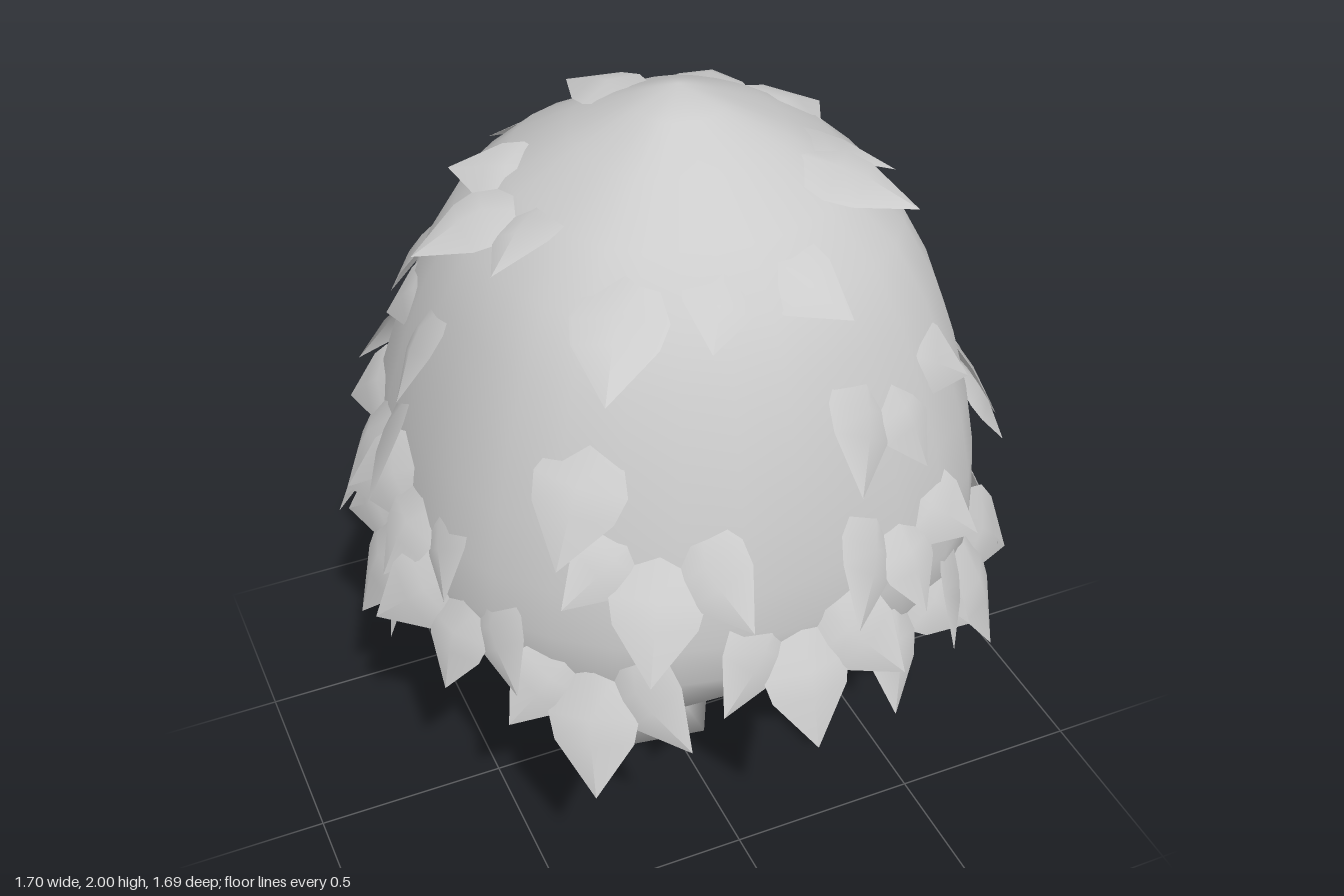
import * as THREE from 'three';
import { mergeVertices, toCreasedNormals } from 'three/addons/utils/BufferGeometryUtils.js';

const grey = new THREE.MeshStandardMaterial({ color: 0xcccccc });
const thin = new THREE.MeshStandardMaterial({ color: 0xcccccc, side: THREE.DoubleSide });
const rad = THREE.MathUtils.degToRad;

// outer outline of the crown: [radius, height], rim to tip
const OUTLINE = [
  [0.62, 0.695], [0.715, 0.74], [0.755, 0.84], [0.76, 0.95], [0.745, 1.08], [0.71, 1.24],
  [0.66, 1.4], [0.6, 1.55], [0.52, 1.69], [0.4, 1.8], [0.25, 1.89], [0.11, 1.957], [0, 2],
];

// point on the slightly lumpy crown surface at angle a (0 = front)
function crownPoint(a, r, y) {
  const k = r * (1 + 0.02 * Math.cos(4 * a - Math.PI) + 0.012 * Math.sin(7 * a - 3 * y));
  const rim = y < 0.78 ? 0.025 * Math.sin(4 * a + 1) * (r / 0.64) : 0;
  return new THREE.Vector3(k * Math.sin(a) + 0.03, y + rim, k * Math.cos(a) + 0.03 * (y - 1.4));
}

function radiusAt(y) {
  for (let i = 1; i < OUTLINE.length; i++) {
    const [r0, y0] = OUTLINE[i - 1], [r1, y1] = OUTLINE[i];
    if (y <= y1) return r0 + (r1 - r0) * (y - y0) / (y1 - y0);
  }
  return 0;
}

function crownGeometry() {
  const profile = [[0, 0.78], [0.3, 0.745], ...OUTLINE].map(([r, y]) => new THREE.Vector2(r, y));
  let g = new THREE.LatheGeometry(profile, 32);
  const p = g.attributes.position;
  for (let i = 0; i < p.count; i++) {
    const x = p.getX(i), z = p.getZ(i);
    const v = crownPoint(Math.atan2(x, z), Math.hypot(x, z), p.getY(i));
    p.setXYZ(i, v.x, v.y, v.z);
  }
  g.deleteAttribute('normal');
  g.deleteAttribute('uv');
  g = mergeVertices(g, 1e-4);
  g.computeVertexNormals();
  return g;
}

// pointed leaf: base at the origin, tip along +y, upper side facing +z
function leafGeometry() {
  const rows = [[0, 0.06, 0], [0.1, 0.105, 0.035], [0.16, 0.092, 0.047], [0.29, 0, 0.05]];
  const pos = [], index = [];
  for (const [along, half, lift] of rows)
    for (const s of [-1, 0, 1]) pos.push(s * half, along, lift - Math.abs(s) * half * 0.25);
  for (let r = 0; r < rows.length - 1; r++)
    for (let c = 0; c < 2; c++) {
      const a = r * 3 + c;
      index.push(a, a + 1, a + 4, a, a + 4, a + 3);
    }
  const g = new THREE.BufferGeometry();
  g.setAttribute('position', new THREE.Float32BufferAttribute(pos, 3));
  g.setIndex(index);
  g.computeVertexNormals();
  return g;
}

// leaf sprays: [angle in degrees, height of the middle, number of leaves]
const SPRAYS = [
  // skirt
  [0, 0.87, 3], [24, 0.77, 2], [44, 0.8, 3], [73, 0.8, 3], [96, 0.78, 3], [130, 0.85, 3],
  [152, 0.77, 1], [174, 0.8, 3], [208, 0.88, 3], [236, 0.84, 3], [268, 0.84, 3], [297, 0.88, 3],
  [322, 0.78, 3],
  // middle
  [22, 1.06, 3], [64, 1.18, 1], [84, 1.13, 3], [103, 1.3, 1], [142, 1.13, 3], [180, 1.2, 3],
  [216, 1.12, 3], [258, 1.14, 3], [282, 1.06, 3], [334, 1.13, 3],
  // upper
  [26, 1.4, 3], [115, 1.48, 2], [146, 1.5, 1], [183, 1.64, 3], [224, 1.45, 1], [261, 1.44, 2],
  [320, 1.38, 1],
  // top
  [357, 1.7, 2], [322, 1.7, 1], [270, 1.75, 3], [90, 1.82, 2], [142, 1.82, 1], [48, 1.83, 1],
  [208, 1.91, 1],
];

// directions along and across the crown surface at a given angle and height
function surfaceFrame(a, y) {
  const at = h => crownPoint(a, radiusAt(h), h);
  const out = new THREE.Vector3(Math.sin(a), 0, Math.cos(a));
  const down = at(Math.max(y - 0.05, 0.8)).sub(at(Math.min(y + 0.03, 2))).normalize();
  if (y < 1) down.set(0, -1, 0).addScaledVector(out, 0.1).normalize();
  const side = new THREE.Vector3().crossVectors(down, out).normalize();
  return { point: at(y), down, side, normal: new THREE.Vector3().crossVectors(side, down) };
}

function makeLeaves() {
  const group = new THREE.Group();
  group.name = 'leaves';
  const leaf = leafGeometry();
  const rolls = { 1: [0], 2: [-30, 32], 3: [-42, 42, 0] };
  SPRAYS.forEach(([deg, y, count], n) => {
    const a = rad(deg);
    // the stalk end sits a little up the slope, just under the surface
    const baseY = Math.min(y - 0.13 * surfaceFrame(a, y).down.y, 1.975);
    const { point, down, side, normal } = surfaceFrame(a, baseY);
    const spray = new THREE.Group();
    spray.name = 'leafSpray';
    spray.quaternion.setFromRotationMatrix(new THREE.Matrix4().makeBasis(side, down, normal));
    spray.position.copy(point).addScaledVector(normal, -0.02);
    rolls[count].forEach((roll, i) => {
      const m = new THREE.Mesh(leaf, thin);
      m.name = 'leaf';
      const tilt = (baseY > 1.5 ? -0.05 : 0.08) + 0.05 * Math.sin(n * 2 + i);
      m.rotation.set(tilt, 0, rad(roll + 8 * Math.sin(n * 1.7)), 'ZXY');
      m.position.set(-Math.sin(rad(roll)) * 0.06, roll ? 0 : 0.05, roll ? -0.005 : 0.012);
      m.scale.setScalar(0.96 + 0.1 * Math.sin(n * 3.1 + i));
      spray.add(m);
    });
    group.add(spray);
  });
  return group;
}

// tapering six-sided limb through a few points, closed at the far end
function limbGeometry(points, radii, sides = 6) {
  const pts = points.map(p => new THREE.Vector3(...p));
  const pos = [], index = [];
  pts.forEach((p, i) => {
    const dir = pts[Math.min(i + 1, pts.length - 1)].clone().sub(pts[Math.max(i - 1, 0)]).normalize();
    const q = new THREE.Quaternion().setFromUnitVectors(new THREE.Vector3(0, 1, 0), dir);
    for (let s = 0; s < sides; s++) {
      const t = s / sides * Math.PI * 2;
      const v = new THREE.Vector3(Math.sin(t), 0, Math.cos(t)).multiplyScalar(radii[i]);
      v.applyQuaternion(q).add(p);
      pos.push(v.x, v.y, v.z);
      if (i) {
        const b = (i - 1) * sides, s1 = (s + 1) % sides;
        index.push(b + s, b + s1, b + sides + s1, b + s, b + sides + s1, b + sides + s);
      }
    }
  });
  const last = (pts.length - 1) * sides;
  for (let s = 1; s < sides - 1; s++) index.push(last, last + s, last + s + 1);
  const g = new THREE.BufferGeometry();
  g.setAttribute('position', new THREE.Float32BufferAttribute(pos, 3));
  g.setIndex(index);
  return toCreasedNormals(g, 1.1);
}

export function createModel() {
  const tree = new THREE.Group();
  tree.name = 'tree';
  const add = (name, geometry) => {
    const m = new THREE.Mesh(geometry, grey);
    m.name = name;
    tree.add(m);
    return m;
  };

  add('crown', crownGeometry());
  tree.add(makeLeaves());

  // five-sided trunk with flared foot
  const outline = [[0, 0], [0.175, 0], [0.095, 0.07], [0.091, 0.35], [0.085, 0.75], [0, 0.79]];
  const trunk = add('trunk', new THREE.LatheGeometry(
    outline.map(p => new THREE.Vector2(...p)), 5, rad(-45)));
  trunk.position.set(0, 0, -0.06);

  // branches
  add('rightBranch', limbGeometry(
    [[-0.04, 0.13, -0.06], [-0.29, 0.43, -0.16], [-0.345, 0.76, -0.2]], [0.045, 0.035, 0.024]));
  add('frontBranch', limbGeometry(
    [[0.02, 0.27, -0.02], [0.035, 0.56, 0.2], [0.04, 0.74, 0.25]], [0.045, 0.036, 0.026]));
  add('backBranch', limbGeometry(
    [[0.05, 0.24, -0.1], [0.105, 0.56, -0.26], [0.115, 0.76, -0.3]], [0.045, 0.034, 0.024]));
  add('smallBranch', limbGeometry(
    [[-0.03, 0.52, -0.05], [-0.11, 0.61, 0], [-0.17, 0.76, 0.03]], [0.04, 0.032, 0.022]));

  return tree;
}
